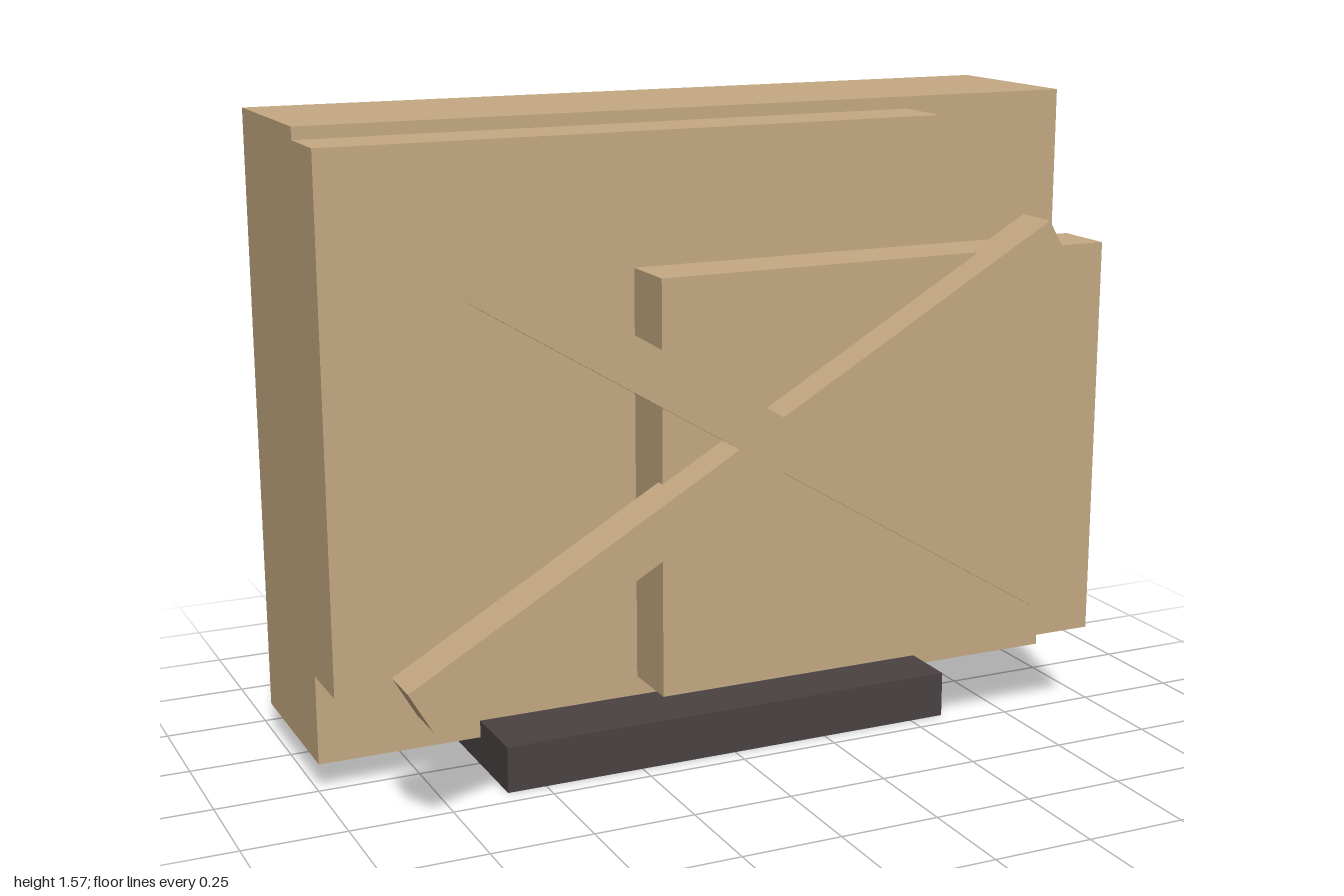
import * as THREE from 'three';

export function createModel() {
  const model = new THREE.Group();
  model.name = 'stackedPanels';

  const tan = new THREE.MeshStandardMaterial({ color: 0xc4a882 });
  tan.name = 'tan';
  const charcoal = new THREE.MeshStandardMaterial({ color: 0x4a4242 });
  charcoal.name = 'charcoal';

  // Axis-aligned block given by its low and high corners
  function block(name, material, [x0, y0, z0], [x1, y1, z1]) {
    const mesh = new THREE.Mesh(new THREE.BoxGeometry(x1 - x0, y1 - y0, z1 - z0), material);
    mesh.position.set((x0 + x1) / 2, (y0 + y1) / 2, (z0 + z1) / 2);
    mesh.name = name;
    model.add(mesh);
  }

  // Slanted bar between two end points in the x-y plane
  function bar(name, [ax, ay], [bx, by], z0, z1) {
    const length = Math.hypot(bx - ax, by - ay);
    const mesh = new THREE.Mesh(new THREE.BoxGeometry(length, 0.112, z1 - z0), tan);
    mesh.position.set((ax + bx) / 2, (ay + by) / 2, (z0 + z1) / 2);
    mesh.rotation.z = Math.atan2(by - ay, bx - ax);
    mesh.name = name;
    model.add(mesh);
  }

  // Base and the three layered slabs, back to front
  block('base', charcoal, [-0.597, 0, -0.235], [0.59, 0.115, 0.2]);
  block('backSlab', tan, [-1, 0.072, -0.427], [1, 1.572, 0.011]);
  block('middleSlab', tan, [-1, 0.292, 0.011], [0.557, 1.542, 0.173]);
  block('frontSlab', tan, [-0.251, 0.23, 0.173], [0.936, 1.228, 0.328]);

  // Crossed bars on the front
  bar('fallingBar', [-0.688, 1.26], [0.75, 0.387], 0.31, 0.427);
  bar('risingBar', [-0.875, 0.323], [0.747, 1.26], 0.305, 0.421);

  return model;
}
